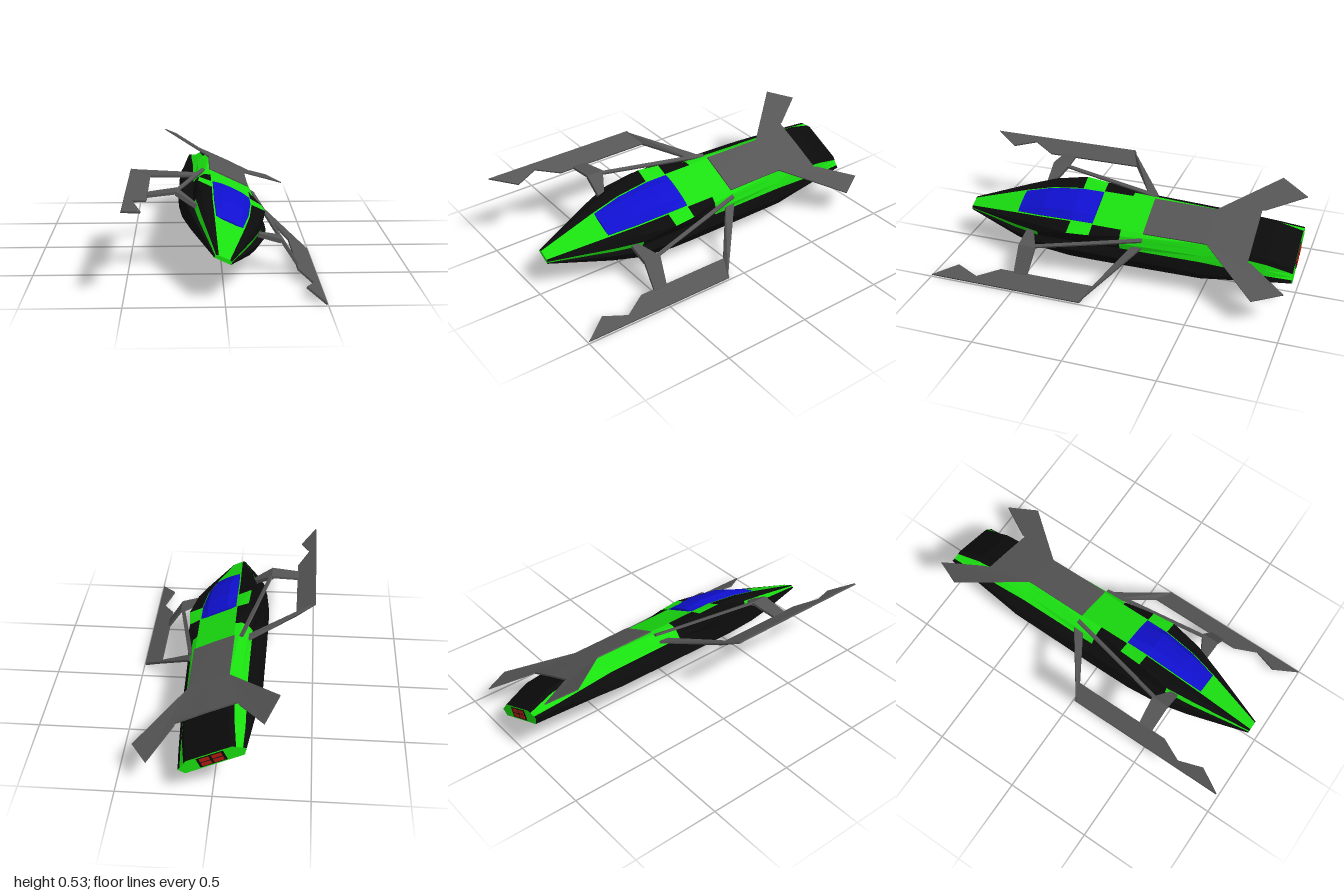
import * as THREE from 'three';

const COLORS = { green: 0x1ae010, black: 0x0b0b0b, blue: 0x1010d0, grey: 0x555555, red: 0xb01a10 };
const materials = {};
for (const key in COLORS) {
  materials[key] = new THREE.MeshStandardMaterial({ color: COLORS[key], flatShading: true, side: THREE.DoubleSide });
}

// Collects flat quads by colour and turns them into named meshes
class Panels {
  constructor() { this.lists = {}; }
  quad(color, a, b, c, d, side) {
    const list = (this.lists[color] ??= []);
    const order = side > 0 ? [a, b, c, a, c, d] : [a, c, b, a, d, c];
    for (const p of order) list.push(p[0] * side, p[1], p[2]);
  }
  // Both mirrored halves of a skin through half sections, given front to back
  loft(sections, colorOf) {
    for (const side of [1, -1]) {
      for (let s = 0; s < sections.length - 1; s++) {
        const f = sections[s], r = sections[s + 1];
        for (let i = 0; i < f.length - 1; i++) {
          this.quad(colorOf(s, i), f[i], r[i], r[i + 1], f[i + 1], side);
        }
      }
    }
  }
  // A thin four-cornered plate; corners run counter-clockwise from above
  plate(corners, t, side, bottom = 'grey') {
    const low = corners.map(([x, y, z]) => [x, y - t, z]);
    this.quad('grey', ...corners, side);
    this.quad(bottom, low[3], low[2], low[1], low[0], side);
    for (let i = 0; i < 4; i++) {
      const j = (i + 1) % 4;
      this.quad('grey', corners[j], corners[i], low[i], low[j], side);
    }
  }
  build(name) {
    const group = new THREE.Group();
    group.name = name;
    for (const color in this.lists) {
      const g = new THREE.BufferGeometry();
      g.setAttribute('position', new THREE.Float32BufferAttribute(this.lists[color], 3));
      g.computeVertexNormals();
      const mesh = new THREE.Mesh(g, materials[color]);
      mesh.name = `${name}_${color}`;
      group.add(mesh);
    }
    return group;
  }
}

// Half sections: z, keel edge, flare edge, groove low, groove high, shoulder, deck edge
const HULL = [
  [0.955, [0.044, -0.03], [0.046, -0.024], [0.044, -0.02], [0.042, -0.014], [0.036, -0.011], [0.03, -0.01]],
  [0.62, [0.168, -0.036], [0.175, 0.02], [0.15, 0.025], [0.15, 0.055], [0.13, 0.078], [0.085, 0.078]],
  [0.46, [0.215, -0.037], [0.23, 0.038], [0.192, 0.048], [0.192, 0.082], [0.17, 0.118], [0.108, 0.113]],
  [0.27, [0.236, -0.038], [0.25, 0.045], [0.192, 0.05], [0.197, 0.09], [0.203, 0.136], [0.12, 0.136]],
  [0.14, [0.238, -0.038], [0.25, 0.045], [0.19, 0.05], [0.195, 0.09], [0.19, 0.13], [0.12, 0.136]],
  [-0.03, [0.238, -0.038], [0.236, 0.02], [0.188, 0.05], [0.18, 0.085], [0.155, 0.12], [0.12, 0.134]],
  [-0.5, [0.236, -0.036], [0.23, 0], [0.185, 0.045], [0.165, 0.075], [0.14, 0.105], [0.12, 0.128]],
  [-0.63, [0.22, -0.032], [0.22, 0], [0.185, 0.035], [0.165, 0.07], [0.145, 0.1], [0.125, 0.12]],
  [-0.85, [0.188, -0.033], [0.204, 0], [0.183, 0.018], [0.165, 0.046], [0.148, 0.073], [0.127, 0.094]],
  [-0.996, [0.165, -0.035], [0.19, 0], [0.175, 0.008], [0.16, 0.015], [0.145, 0.025], [0.127, 0.035]],
];

function hullColor(s, i) {
  if (i === 0) return 'green';                                          // belly
  if (i <= 2) return 'black';                                           // lower flanks
  if (i === 3) return s < 2 || s >= 5 ? 'green' : 'black';              // groove stripe
  if (i === 4) return s >= 5 ? 'green' : 'black';                       // upper flanks
  if (i === 5) return s === 3 || s === 5 || s === 6 ? 'green' : 'black'; // shoulders
  return s >= 7 ? 'black' : 'green';                                    // deck
}

function buildHull() {
  const p = new Panels();
  const sections = HULL.map(([z, ...pts]) => [
    [0, pts[0][1], z], ...pts.map(([x, y]) => [x, y, z]), [0, pts[5][1], z],
  ]);
  p.loft(sections, hullColor);
  // Nose and tail end caps
  const nose = sections[0], tail = sections[sections.length - 1];
  for (const side of [1, -1]) {
    for (const i of [1, 3, 5]) {
      p.quad('green', nose[0], nose[i], nose[i + 1], nose[i + 2], side);
      p.quad('green', tail[0], tail[i + 2], tail[i + 1], tail[i], side);
    }
  }
  return p.build('hull');
}

function buildCanopy() {
  const p = new Panels();
  const rows = [
    [0.62, 0.075, 0.082, 0.045, 0.086], [0.46, 0.1, 0.117, 0.06, 0.14],
    [0.27, 0.112, 0.139, 0.065, 0.162], [0.14, 0.112, 0.139, 0.065, 0.148],
  ];
  const sections = rows.map(([z, w, y, tw, ty]) => [[w, y - 0.01, z], [w, y, z], [tw, ty, z], [0, ty + 0.003, z]]);
  p.loft(sections, () => 'blue');
  const f = sections[0], r = sections[3];
  for (const side of [1, -1]) {
    p.quad('blue', [0, f[0][1], f[0][2]], f[1], f[2], f[3], side);
    p.quad('blue', [0, r[0][1], r[0][2]], r[3], r[2], r[1], side);
  }
  return p.build('canopy');
}

// Grey rear deck with swept tail fins
function buildTail() {
  const p = new Panels();
  for (const side of [1, -1]) {
    p.plate([[0, 0.14, -0.16], [0.124, 0.138, -0.16], [0.12, 0.135, -0.52], [0, 0.135, -0.52]], 0.01, side);
    p.plate([[0, 0.135, -0.52], [0.12, 0.135, -0.52], [0.183, 0.115, -0.76], [0, 0.118, -0.76]], 0.01, side, 'green');
    p.plate([[0.12, 0.135, -0.52], [0.416, 0.121, -0.83], [0.327, 0.097, -0.985], [0.183, 0.113, -0.78]],
      0.006, side, 'green');
  }
  return p.build('tailFins');
}

// Struts that carry the outrigger blades
function buildStruts() {
  const p = new Panels();
  for (const side of [1, -1]) {
    // Rear arm
    p.plate([[0.185, 0.08, -0.1], [0.432, 0.004, 0.06], [0.548, 0.004, 0.11], [0.185, 0.085, -0.16]], 0.014, side);
    // Front arm, rising to the elbow and dropping to the blade
    p.plate([[0.18, 0.07, 0.53], [0.305, 0.09, 0.53], [0.305, 0.09, 0.43], [0.18, 0.07, 0.49]], 0.022, side);
    p.plate([[0.305, 0.09, 0.53], [0.44, 0.006, 0.53], [0.44, 0.006, 0.45], [0.305, 0.09, 0.43]], 0.016, side);
    // Long brace rod from the elbow back to the deck
    p.plate([[0.285, 0.09, 0.44], [0.305, 0.09, 0.44], [0.168, 0.122, -0.16], [0.145, 0.122, -0.16]], 0.012, side);
  }
  return p.build('struts');
}

// Notched outrigger blade, outlined from above as x, z
const BLADE = [
  [0.548, 0.1], [0.548, 0.998], [0.452, 0.865], [0.506, 0.735], [0.432, 0.61], [0.432, 0.055],
];

function buildBlade(side) {
  const shape = new THREE.Shape(BLADE.map(([x, z]) => new THREE.Vector2(x * side, z)));
  const g = new THREE.ExtrudeGeometry(shape, { depth: 0.01, bevelEnabled: false });
  g.rotateX(Math.PI / 2).translate(0, 0.004, 0);
  const mesh = new THREE.Mesh(g, materials.grey);
  mesh.name = side > 0 ? 'leftBlade' : 'rightBlade';
  return mesh;
}

// Black tail panel with four red lights
function buildTailLights() {
  const group = new THREE.Group();
  group.name = 'tailLights';
  const add = (name, color, w, h, x, y, z) => {
    const mesh = new THREE.Mesh(new THREE.BoxGeometry(w, h, 0.004), materials[color]);
    mesh.position.set(x, y, z);
    mesh.name = name;
    group.add(mesh);
  };
  add('lightPanel', 'black', 0.15, 0.056, 0, 0, -0.996);
  for (const x of [-0.034, 0.034]) {
    for (const y of [-0.013, 0.013]) add('light', 'red', 0.054, 0.02, x, y, -0.998);
  }
  return group;
}

export function createModel() {
  const craft = new THREE.Group();
  craft.name = 'craft';
  craft.add(buildHull(), buildCanopy(), buildTail(), buildStruts(), buildBlade(1), buildBlade(-1), buildTailLights());
  // The whole craft is banked to its left
  craft.rotation.z = -0.445;
  craft.position.y = 0.243;
  const model = new THREE.Group();
  model.name = 'model';
  model.add(craft);
  return model;
}
